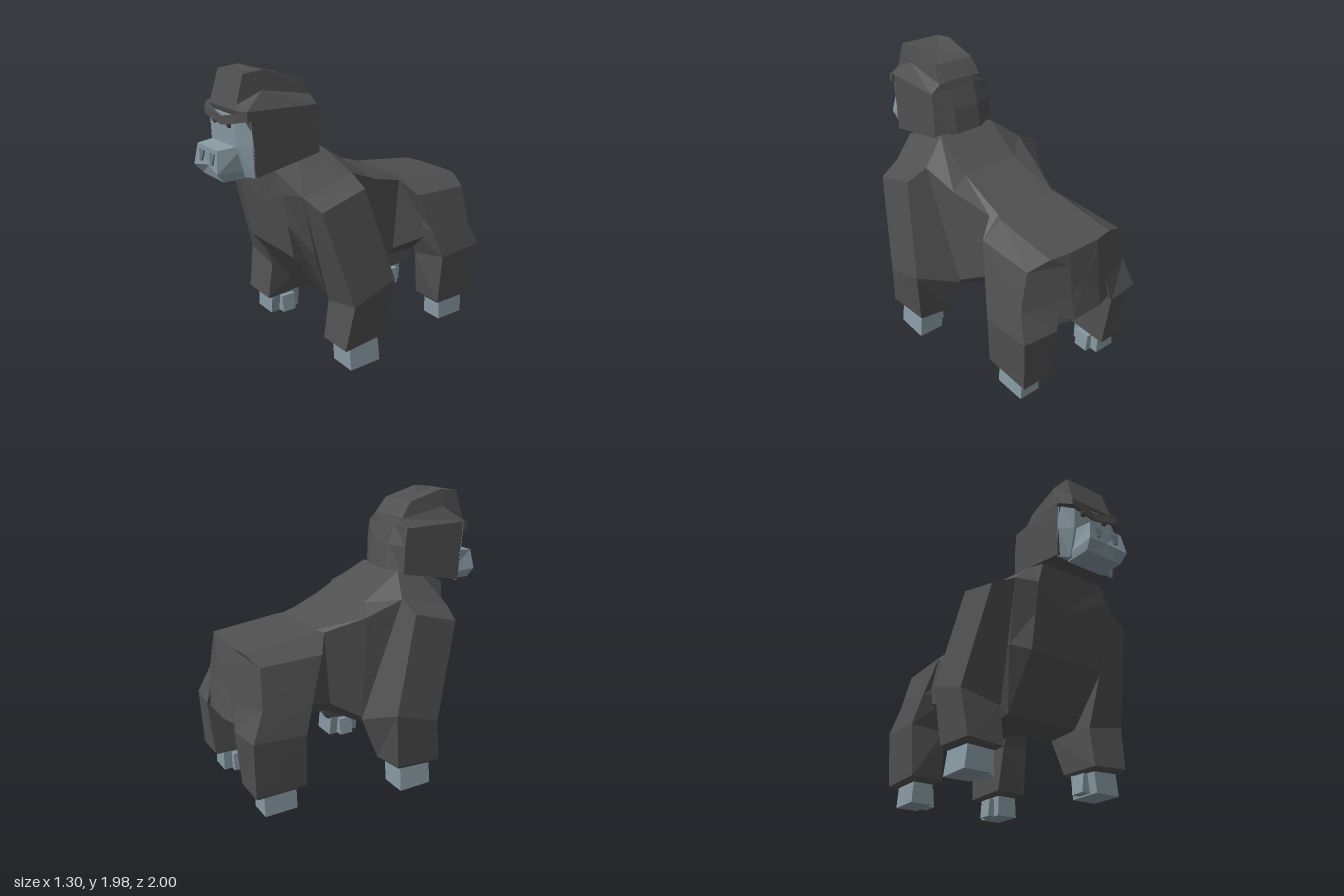
import * as THREE from 'three';

const material = (color) => new THREE.MeshStandardMaterial({ color, flatShading: true, roughness: 0.9 });
const fur = material(0x505050);
const skin = material(0x8799a2);
const eyeDark = material(0x4c4444);
const nostrilDark = material(0x66747b);

// Skin a closed solid over loops of equal point count, capping both ends.
function loft(name, mat, rings) {
  const n = rings[0].length;
  const tris = [];
  for (let r = 0; r < rings.length - 1; r++) {
    for (let i = 0; i < n; i++) {
      const j = (i + 1) % n;
      const a = rings[r][i], b = rings[r][j], c = rings[r + 1][j], d = rings[r + 1][i];
      tris.push([a, b, c], [a, c, d]);
    }
  }
  const cap = (ring, flip) => {
    const mid = [0, 1, 2].map((k) => ring.reduce((s, p) => s + p[k], 0) / n);
    ring.forEach((p, i) => {
      const q = ring[(i + 1) % n];
      tris.push(flip ? [mid, q, p] : [mid, p, q]);
    });
  };
  cap(rings[0], true);
  cap(rings[rings.length - 1], false);

  // A negative enclosed volume means the faces point inward.
  const v = (p) => new THREE.Vector3(...p);
  const volume = tris.reduce((s, [a, b, c]) => s + v(a).dot(v(b).cross(v(c))), 0);
  if (volume < 0) tris.forEach((t) => t.reverse());

  const geometry = new THREE.BufferGeometry();
  geometry.setAttribute('position', new THREE.Float32BufferAttribute(tris.flat(2), 3));
  geometry.computeVertexNormals();
  const mesh = new THREE.Mesh(geometry, mat);
  mesh.name = name;
  return mesh;
}

const flipX = ([x, y, z]) => [-x, y, z];
// Complete a half loop given on the +x side.
const both = (half) => [...half, ...half.map(flipX).reverse()];
const toSide = (rings, side) => (side > 0 ? rings : rings.map((r) => r.map(flipX)));

// Horizontal rectangle used for hands and feet.
const rect = (x0, x1, z0, z1, y) => [[x0, y, z0], [x1, y, z0], [x1, y, z1], [x0, y, z1]];

// Torso loops from chest to rump: top, upper flank, lower flank, belly
const torso = [
  [[0.24, 1.35, 0.63], [0.27, 1.21, 0.62], [0.27, 1.0, 0.585], [0.27, 0.76, 0.54]],
  [[0.24, 1.4, 0.47], [0.41, 1.22, 0.56], [0.38, 0.8, 0.45], [0.27, 0.41, 0.28]],
  [[0.22, 1.455, 0.27], [0.41, 1.31, 0.18], [0.37, 0.6, 0.1], [0.27, 0.4, 0.05]],
  [[0.22, 1.27, 0], [0.36, 1.21, -0.06], [0.34, 0.49, -0.08], [0.27, 0.42, -0.05]],
  [[0.24, 1.145, -0.38], [0.28, 1.13, -0.34], [0.28, 0.62, -0.3], [0.22, 0.55, -0.3]],
  [[0.26, 1.135, -0.43], [0.4, 1.03, -0.42], [0.42, 0.72, -0.55], [0.25, 0.56, -0.55]],
  [[0.26, 1.08, -0.9], [0.4, 1.02, -0.85], [0.43, 0.75, -0.88], [0.25, 0.6, -0.95]],
  [[0.12, 1.08, -0.92], [0.12, 1.0, -0.935], [0.12, 0.78, -0.965], [0.12, 0.61, -1.0]],
];

// Head loops from neck to crown: nape, back corner, side front, front
const head = [
  [[0.1, 1.45, 0.24], [0.24, 1.43, 0.31], [0.24, 1.34, 0.78], [0.16, 1.34, 0.78]],
  [[0.1, 1.62, 0.27], [0.24, 1.62, 0.315], [0.24, 1.62, 0.8], [0.16, 1.62, 0.82]],
  [[0.1, 1.76, 0.315], [0.24, 1.745, 0.33], [0.24, 1.755, 0.83], [0.165, 1.755, 0.865]],
  [[0.1, 1.81, 0.33], [0.17, 1.8, 0.33], [0.17, 1.86, 0.68], [0.165, 1.79, 0.855]],
  [[0.1, 1.91, 0.41], [0.155, 1.91, 0.41], [0.155, 1.98, 0.66], [0.155, 1.965, 0.8]],
];

// Limb loops: front outer, rear outer, rear inner, front inner
const arm = [
  [[0.56, 1.15, 0.52], [0.56, 1.245, 0.19], [0.41, 1.31, 0.18], [0.41, 1.22, 0.56]],
  [[0.65, 0.49, 0.33], [0.65, 0.6, 0], [0.35, 0.48, -0.09], [0.36, 0.43, 0.33]],
  [[0.62, 0.175, 0.38], [0.61, 0.2, 0.04], [0.38, 0.18, 0.02], [0.36, 0.16, 0.37]],
  [[0.59, 0.15, 0.35], [0.58, 0.165, 0.07], [0.4, 0.15, 0.06], [0.39, 0.14, 0.34]],
];
const leg = [
  [[0.4, 1.03, -0.42], [0.4, 1.02, -0.85], [0.2, 1.0, -0.85], [0.2, 1.0, -0.42]],
  [[0.46, 0.76, -0.52], [0.46, 0.76, -0.87], [0.2, 0.76, -0.94], [0.26, 0.76, -0.44]],
  [[0.5, 0.55, -0.59], [0.5, 0.57, -0.955], [0.25, 0.57, -0.98], [0.26, 0.52, -0.54]],
  [[0.475, 0.18, -0.585], [0.475, 0.175, -0.94], [0.24, 0.175, -0.94], [0.24, 0.18, -0.585]],
  [[0.45, 0.155, -0.61], [0.45, 0.155, -0.91], [0.27, 0.155, -0.91], [0.27, 0.155, -0.61]],
];

export function createModel() {
  const model = new THREE.Group();
  model.name = 'gorilla';

  model.add(loft('torso', fur, torso.map(both)));
  model.add(loft('head', fur, head.map(both)));

  // Face plate, chamfered at the cheeks
  model.add(loft('face', skin, [
    [[0.237, 1.335, 0.77], [0.16, 1.335, 0.81]],
    [[0.243, 1.53, 0.79], [0.16, 1.53, 0.865]],
    [[0.243, 1.72, 0.81], [0.16, 1.72, 0.87]],
  ].map(both)));

  // Muzzle
  model.add(loft('muzzle', skin, [
    [[0.155, 1.535, 0.8], [0.155, 1.37, 0.77], [0.145, 1.325, 0.77]],
    [[0.13, 1.52, 0.98], [0.155, 1.38, 1.0], [0.14, 1.32, 0.95]],
  ].map(both)));

  // Brow ridge, dipping to the middle
  const browStations = [
    [-0.255, 1.7, 1.755, 0.8, 0.835], [-0.19, 1.685, 1.74, 0.8, 0.89],
    [0, 1.645, 1.7, 0.82, 0.88],
    [0.19, 1.685, 1.74, 0.8, 0.89], [0.255, 1.7, 1.755, 0.8, 0.835],
  ];
  model.add(loft('brow', fur, browStations.map(([x, y0, y1, z0, z1]) => [
    [x, y0, z0], [x, y0, z1], [x, y1, z1], [x, y1, z0],
  ])));

  for (const side of [1, -1]) {
    const label = side > 0 ? 'left' : 'right';
    const add = (part, mat, rings) => model.add(loft(label + part, mat, toSide(rings, side)));

    add('Arm', fur, arm);
    add('Leg', fur, leg);

    // Hands and feet, each with an inner thumb or toe
    add('Hand', skin, [rect(0.39, 0.58, 0.08, 0.32, 0.17), rect(0.41, 0.6, 0.075, 0.32, 0)]);
    add('Thumb', skin, [rect(0.36, 0.43, 0.14, 0.25, 0.14), rect(0.345, 0.43, 0.14, 0.25, 0.01)]);
    add('Foot', skin, [rect(0.28, 0.43, -0.87, -0.64, 0.17), rect(0.28, 0.44, -0.87, -0.64, 0.01)]);
    add('Toe', skin, [rect(0.24, 0.3, -0.81, -0.7, 0.14), rect(0.23, 0.3, -0.81, -0.7, 0.01)]);

    // Nostril panel lying on the sloped front of the muzzle
    const nostril = [[0.035, 1.49], [0.1, 1.49], [0.085, 1.42], [0.06, 1.42]];
    const slopeZ = (y) => 0.98 + (1.52 - y) / 7;
    add('Nostril', nostrilDark, [-0.01, 0.002].map((o) => nostril.map(([x, y]) => [x, y, slopeZ(y) + o])));

    const eye = new THREE.Mesh(new THREE.SphereGeometry(0.027, 8, 6), eyeDark);
    eye.name = label + 'Eye';
    eye.position.set(side * 0.09, 1.665, 0.865);
    model.add(eye);
  }
  return model;
}
